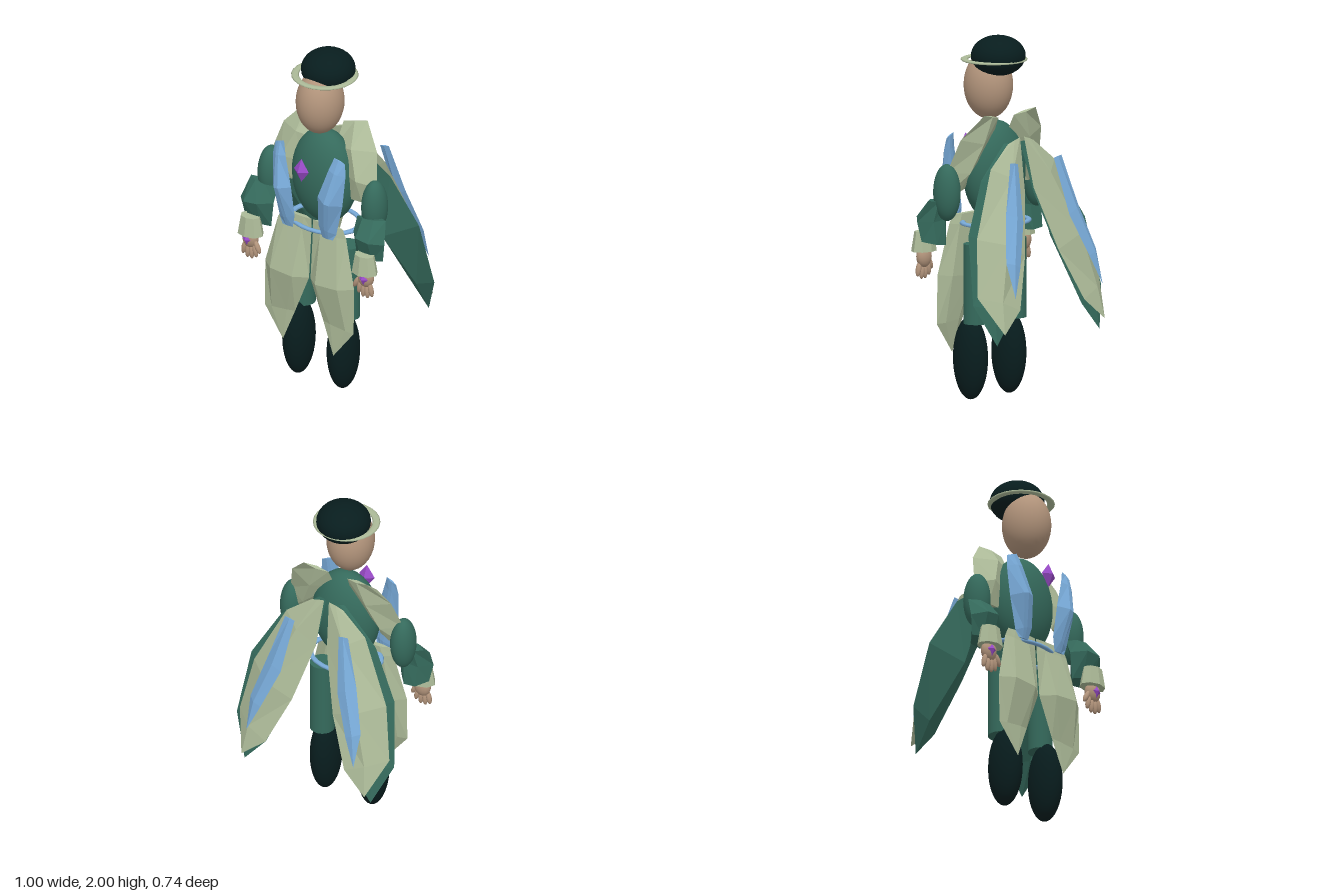
import * as THREE from 'three';

const mat = (name, color) =>
  Object.assign(new THREE.MeshStandardMaterial({ color }), { name });

export function createModel() {
  const model = new THREE.Group();
  model.name = 'cloakedFigure';
  const teal = mat('teal cloth', 0x356a5c);
  const dark = mat('dark felt', 0x081d1e);
  const sage = mat('sage cloth', 0xacba98);
  const blue = mat('blue trim', 0x78aad8);
  const skin = mat('skin', 0xb3957c);
  const violet = mat('violet gem', 0x994bc8);
  // faceted parts share the same colours
  const flat = new Map([teal, sage, blue, violet].map((m) => {
    const c = m.clone();
    c.flatShading = true;
    return [m, c];
  }));

  const add = (name, geo, material, x = 0, y = 0, z = 0) => {
    const mesh = new THREE.Mesh(geo, material);
    mesh.name = name;
    mesh.position.set(x, y, z);
    model.add(mesh);
    return mesh;
  };
  const ball = (name, m, x, y, z, rx, ry, rz, seg = 32) =>
    add(name, new THREE.SphereGeometry(1, seg, Math.ceil(seg * 0.6)).scale(rx, ry, rz), m, x, y, z);
  const gem = (name, x, y, z, rx, ry, rz) =>
    add(name, new THREE.OctahedronGeometry(1).scale(rx, ry, rz), flat.get(violet), x, y, z);

  // Faceted panel lofted through stations [outer xyz, inner xyz, front bulge, back bulge].
  // inset places the two ridges across the width; 0.5 merges them into one.
  const panel = (name, m, side, inset, stations) => {
    const pt = (s, i) => new THREE.Vector3(s[i] * side, s[i + 1], s[i + 2]);
    const mids = stations.map((s) => pt(s, 0).lerp(pt(s, 3), 0.5));
    const axis = mids.at(-1).clone().sub(mids[0]);
    const chord = new THREE.Vector3();
    stations.forEach((s) => chord.add(pt(s, 3)).sub(pt(s, 0)));
    const normal = chord.cross(axis).normalize();
    if (normal.z < 0) normal.negate();
    const ridge = inset === 0.5 ? [0.5] : [inset, 1 - inset];
    const rings = stations.map((s) => {
      const at = (f, t) => pt(s, 0).lerp(pt(s, 3), f).addScaledVector(normal, t);
      return [at(0, 0), ...ridge.map((f) => at(f, s[6])), at(1, 0),
        ...[...ridge].reverse().map((f) => at(f, -s[7]))];
    });
    const n = rings[0].length;
    const tris = [];
    const tri = (a, b, c) => {
      const area = b.clone().sub(a).cross(c.clone().sub(a)).length();
      if (area > 1e-7) tris.push([a, b, c]);
    };
    for (let k = 0; k < rings.length - 1; k++) {
      for (let i = 0; i < n; i++) {
        const j = (i + 1) % n;
        tri(rings[k][i], rings[k][j], rings[k + 1][j]);
        tri(rings[k][i], rings[k + 1][j], rings[k + 1][i]);
      }
    }
    for (let i = 1; i < n - 1; i++) {
      tri(rings[0][0], rings[0][i + 1], rings[0][i]);
      tri(rings.at(-1)[0], rings.at(-1)[i], rings.at(-1)[i + 1]);
    }
    // turn the faces outward on both mirrored sides
    const volume = tris.reduce((v, [a, b, c]) =>
      v + a.clone().sub(mids[1]).dot(b.clone().sub(mids[1]).cross(c.clone().sub(mids[1]))), 0);
    if (volume < 0) tris.forEach((t) => t.reverse());
    const geo = new THREE.BufferGeometry().setFromPoints(tris.flat());
    geo.computeVertexNormals();
    add(name, geo, flat.get(m));
  };

  // head and hat
  ball('head', skin, 0, 1.72, 0.165, 0.13, 0.187, 0.14);
  ball('hatCrown', dark, 0, 1.889, 0.09, 0.149, 0.111, 0.15);
  add('hatBrim', new THREE.TorusGeometry(0.163, 0.021, 8, 24).rotateX(Math.PI / 2).scale(1, 0.35, 1),
    sage, 0, 1.865, 0.122);

  // body
  ball('torso', teal, 0, 1.25, 0.12, 0.2, 0.28, 0.138);
  add('belt', new THREE.TorusGeometry(0.205, 0.018, 8, 24).rotateX(Math.PI / 2).scale(1, 0.6, 0.76),
    blue, 0, 0.972, 0.11);
  gem('chestGem', 0, 1.365, 0.337, 0.05, 0.07, 0.035);

  for (const side of [1, -1]) {
    const tag = side > 0 ? 'left' : 'right';

    // legs and boots
    add(tag + 'Leg', new THREE.CylinderGeometry(0.068, 0.068, 0.44, 24), teal, side * 0.15, 0.645, 0.115);
    ball(tag + 'Boot', dark, side * 0.15, 0.23, 0.155, 0.082, 0.23, 0.107);

    // arm
    ball(tag + 'UpperSleeve', teal, side * 0.35, 1.168, 0.14, 0.07, 0.157, 0.08);
    panel(tag + 'LowerSleeve', teal, side, 0.3, [
      [0.455, 1.13, 0.18, 0.27, 1.11, 0.19, 0.035, 0.03],
      [0.485, 1.01, 0.235, 0.27, 1.03, 0.225, 0.07, 0.06],
      [0.465, 0.9, 0.22, 0.29, 0.88, 0.22, 0.03, 0.065],
    ]);
    add(tag + 'Cuff', new THREE.CylinderGeometry(0.06, 0.08, 0.11, 8).scale(1, 1, 0.75),
      flat.get(sage), side * 0.385, 0.89, 0.28);

    // hand with five fingers
    ball(tag + 'Palm', skin, side * 0.39, 0.805, 0.275, 0.05, 0.06, 0.035, 16);
    for (let i = 0; i < 4; i++) {
      const drop = i === 0 || i === 3 ? 0.015 : 0;
      ball(tag + 'Finger', skin, side * (0.353 + i * 0.025), 0.723 + drop, 0.28, 0.015, 0.042, 0.016, 12)
        .rotation.z = side * (i - 1.5) * 0.12;
    }
    ball(tag + 'Thumb', skin, side * 0.335, 0.765, 0.285, 0.015, 0.04, 0.016, 12).rotation.z = -side * 0.45;
    gem(tag + 'HandGem', side * 0.393, 0.805, 0.303, 0.03, 0.037, 0.022);

    // shoulder collar wrapping front and back of the shoulder
    panel(tag + 'Collar', sage, side, 0.5, [
      [0.2, 1.59, 0, 0.06, 1.56, 0.03, 0.01, 0.01],
      [0.315, 1.46, 0.07, 0.05, 1.43, 0.09, 0.06, 0.06],
      [0.36, 1.28, 0.13, 0.14, 1.3, 0.13, 0.06, 0.07],
      [0.34, 1.17, 0.13, 0.2, 1.17, 0.15, 0.01, 0.02],
    ]);

    // chest lapel
    panel(tag + 'Lapel', blue, side, 0.4, [
      [0.235, 1.44, 0.255, 0.17, 1.465, 0.265, 0.005, 0.005],
      [0.245, 1.37, 0.265, 0.145, 1.39, 0.285, 0.02, 0.015],
      [0.235, 1.19, 0.28, 0.09, 1.22, 0.31, 0.05, 0.03],
      [0.19, 1.0, 0.275, 0.08, 1.04, 0.29, 0.02, 0.015],
      [0.17, 0.962, 0.28, 0.1, 0.962, 0.28, 0.005, 0.005],
    ]);

    // front skirt panel
    panel(tag + 'SkirtPanel', sage, side, 0.25, [
      [0.205, 1.02, 0.235, 0.005, 1.02, 0.235, 0.005, 0.02],
      [0.23, 0.97, 0.238, 0.005, 0.95, 0.238, 0.012, 0.025],
      [0.3, 0.69, 0.26, 0.005, 0.67, 0.26, 0.06, 0.045],
      [0.3, 0.42, 0.265, 0.095, 0.44, 0.265, 0.008, 0.02],
      [0.17, 0.25, 0.275, 0.17, 0.25, 0.275, 0, 0],
    ]);

    // layered cloak wing
    panel(tag + 'CloakOuter', teal, side, 0.5, [
      [0.08, 1.425, -0.03, 0.03, 1.425, -0.045, 0.005, 0.005],
      [0.3, 1.25, -0.07, 0.05, 1.15, -0.13, 0.065, 0.02],
      [0.455, 0.97, -0.125, 0.13, 0.87, -0.21, 0.135, 0.02],
      [0.5, 0.6, -0.205, 0.27, 0.53, -0.28, 0.04, 0.02],
      [0.4, 0.375, -0.29, 0.4, 0.375, -0.29, 0, 0],
    ]);
    panel(tag + 'CloakMiddle', sage, side, 0.5, [
      [0.1, 1.43, -0.08, 0.015, 1.46, -0.09, 0.005, 0.005],
      [0.25, 1.31, -0.095, 0.035, 1.18, -0.145, 0.02, 0.045],
      [0.42, 0.95, -0.155, 0.13, 0.84, -0.24, 0.02, 0.07],
      [0.475, 0.64, -0.215, 0.25, 0.56, -0.32, 0.02, 0.04],
      [0.39, 0.44, -0.34, 0.39, 0.44, -0.34, 0, 0],
    ]);
    panel(tag + 'CloakInlay', blue, side, 0.5, [
      [0.2, 1.35, -0.195, 0.14, 1.34, -0.195, 0.005, 0.005],
      [0.28, 1.08, -0.24, 0.18, 1.03, -0.275, 0.02, 0.025],
      [0.35, 0.83, -0.31, 0.27, 0.8, -0.34, 0.015, 0.02],
      [0.34, 0.64, -0.372, 0.34, 0.64, -0.372, 0, 0],
    ]);
  }
  return model;
}
